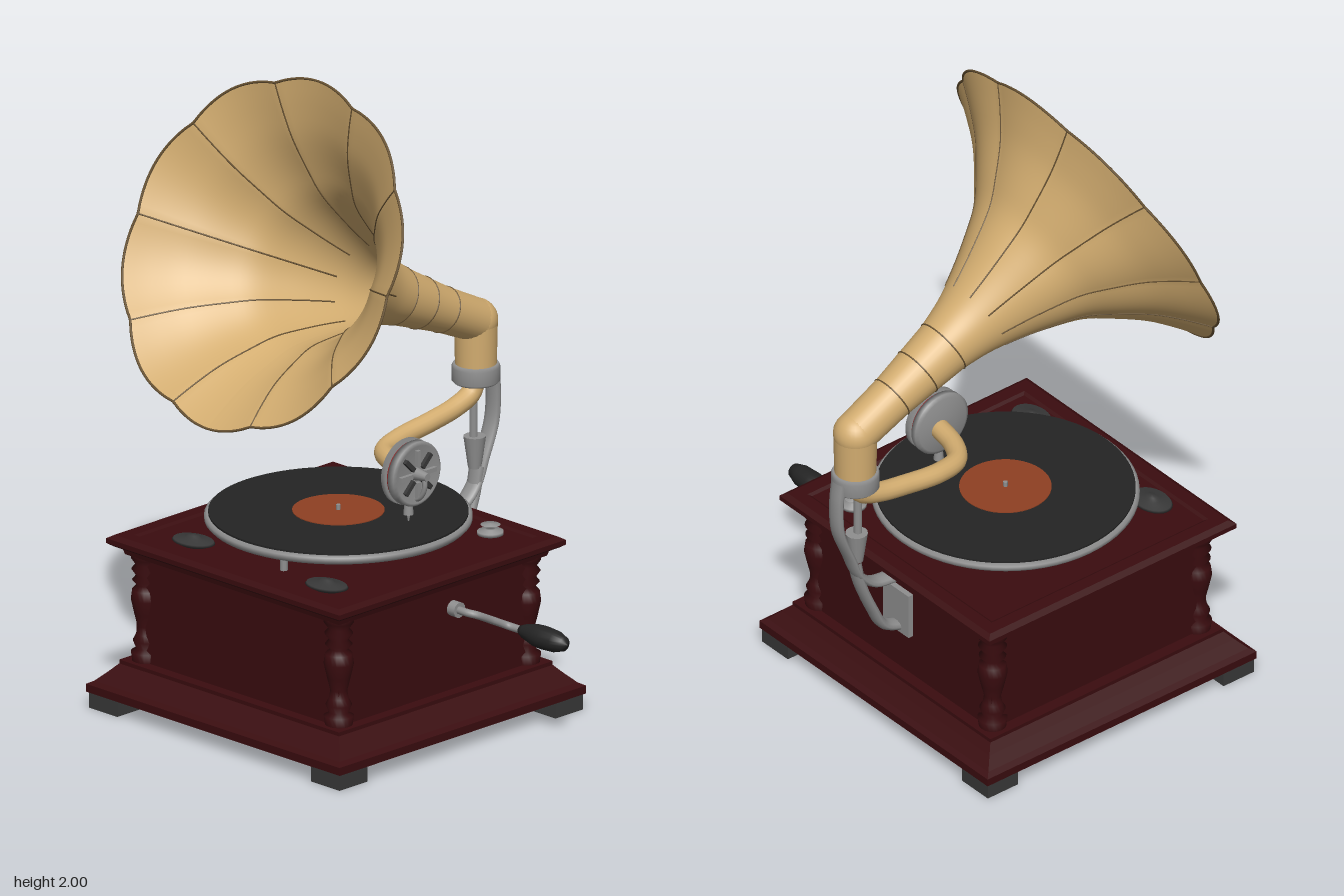
import * as THREE from 'three';

const V = (x, y, z) => new THREE.Vector3(x, y, z);
const mat = (name, color, side = THREE.FrontSide) => {
  const m = new THREE.MeshStandardMaterial({ color, side });
  m.name = name;
  return m;
};

export function createModel() {
  const model = new THREE.Group();
  const wood = mat('mahogany', 0x3a0c0f);
  const brass = mat('brass', 0xd3ad70, THREE.DoubleSide);
  const seamMat = mat('dark brass', 0x6a5434);
  const steel = mat('steel', 0x8f8f8f);
  const vinyl = mat('vinyl black', 0x242424);
  const labelMat = mat('record label', 0x8f4022);
  const rubber = mat('dark grey', 0x383838);
  const red = mat('red gasket', 0x8a2a2a);

  const CX = -0.115, CZ = 0.065;
  const add = (name, geo, m, x = 0, y = 0, z = 0, parent = model) => {
    const mesh = new THREE.Mesh(geo, m);
    mesh.name = name;
    mesh.position.set(x, y, z);
    parent.add(mesh);
    return mesh;
  };
  const lathe = (pts, n = 32) => new THREE.LatheGeometry(pts.map(p => new THREE.Vector2(...p)), n);
  const tube = (pts, r, n = 40, sides = 12) =>
    new THREE.TubeGeometry(new THREE.CatmullRomCurve3(pts.map(p => V(...p))), n, r, sides);
  // Square-plan moulding: profile of [half width, y]
  const moulding = (pts) => {
    const g = lathe(pts.map(([w, y]) => [w * Math.SQRT2, y]), 4).rotateY(Math.PI / 4).toNonIndexed();
    g.computeVertexNormals();
    return g;
  };

  // Cabinet
  const cabinet = new THREE.Group();
  cabinet.name = 'cabinet';
  cabinet.position.set(CX, 0, CZ);
  cabinet.scale.z = 0.975;
  model.add(cabinet);
  add('skirt', moulding([[0, 0.05], [0.533, 0.05], [0.533, 0.075], [0.515, 0.085], [0.485, 0.115],
    [0.462, 0.14], [0.462, 0.152], [0, 0.152]]), wood, 0, 0, 0, cabinet);
  add('body', new THREE.BoxGeometry(0.85, 0.38, 0.85), wood, 0, 0.325, 0, cabinet);
  add('lid', moulding([[0, 0.485], [0.45, 0.485], [0.455, 0.503], [0.475, 0.51], [0.49, 0.52],
    [0.49, 0.535], [0.472, 0.546], [0.43, 0.546], [0.42, 0.54], [0, 0.54]]), wood, 0, 0, 0, cabinet);
  const baluster = lathe([[0.042, 0.15], [0.046, 0.18], [0.03, 0.19], [0.04, 0.215], [0.03, 0.235],
    [0.026, 0.26], [0.036, 0.30], [0.046, 0.345], [0.042, 0.375], [0.028, 0.39], [0.042, 0.405],
    [0.03, 0.42], [0.044, 0.44], [0.032, 0.455], [0.046, 0.475], [0.046, 0.49]], 20);
  for (const sx of [-1, 1]) for (const sz of [-1, 1]) {
    add('cornerBaluster', baluster, wood, sx * 0.405, 0, sz * 0.405, cabinet);
    add('foot', new THREE.BoxGeometry(0.12, 0.054, 0.12), rubber, sx * 0.467, 0.027, sz * 0.467, cabinet);
  }

  // Turntable with record
  const table = new THREE.Group();
  table.name = 'turntable';
  table.position.set(CX, 0, 0.055);
  model.add(table);
  add('hub', new THREE.CylinderGeometry(0.065, 0.065, 0.05, 24), rubber, 0, 0.56, 0, table);
  add('platter', lathe([[0, 0.578], [0.34, 0.578], [0.39, 0.59], [0.4, 0.6], [0.4, 0.612], [0.392, 0.618],
    [0, 0.618]], 64), steel, 0, 0, 0, table);
  add('record', new THREE.CylinderGeometry(0.388, 0.388, 0.008, 64), vinyl, 0, 0.62, 0, table);
  add('label', new THREE.CylinderGeometry(0.138, 0.138, 0.004, 40), labelMat, 0, 0.6245, 0, table);
  add('spindle', new THREE.CylinderGeometry(0.007, 0.007, 0.02, 10), steel, 0, 0.632, 0, table);

  // Small deck fittings
  for (const [x, z] of [[-0.37, 0.41], [0.19, 0.41]]) {
    const dish = add('deckDish', lathe([[0, 0], [0.05, 0], [0.075, 0.01], [0.07, 0.016], [0.03, 0.02],
      [0.018, 0.03], [0, 0.032]], 24), rubber, x, 0.541, z);
    dish.scale.z = 0.7;
  }
  add('brakeKnob', lathe([[0, 0], [0.04, 0], [0.04, 0.01], [0.015, 0.016], [0.015, 0.025], [0.03, 0.03],
    [0, 0.034]], 20), steel, 0.19, 0.541, -0.28);
  add('brakePost', new THREE.CylinderGeometry(0.012, 0.012, 0.04, 10), steel, -0.02, 0.56, 0.38);

  // Crank
  add('crankBoss', new THREE.CylinderGeometry(0.024, 0.024, 0.03, 16).rotateZ(Math.PI / 2), steel, 0.33, 0.41, 0.005);
  add('crankRod', tube([[0.31, 0.41, 0.005], [0.38, 0.41, 0.005], [0.4, 0.405, -0.01], [0.41, 0.375, -0.07],
    [0.43, 0.352, -0.115], [0.49, 0.347, -0.125]], 0.012), steel);
  add('crankHandle', lathe([[0, 0], [0.014, 0.002], [0.022, 0.02], [0.034, 0.07], [0.036, 0.1], [0.033, 0.15],
    [0.022, 0.185], [0, 0.2]], 20).rotateZ(-Math.PI / 2), vinyl, 0.47, 0.347, -0.125);

  // Horn, built along +y from its mouth centre, then tilted
  const horn = new THREE.Group();
  horn.name = 'horn';
  horn.position.set(CX, 1.51, 0.375);
  horn.rotation.x = 1.125;
  model.add(horn);
  const PETALS = 10;
  const scallop = (a, t) => {
    const k = THREE.MathUtils.smoothstep(t, -0.5, 0);
    return 1 - 0.035 * k * (1 - Math.abs(Math.cos(a * PETALS / 2)));
  };
  const flare = new THREE.SplineCurve([[0.09, -0.62], [0.11, -0.53], [0.142, -0.44], [0.185, -0.345], [0.237, -0.25],
    [0.3, -0.18], [0.385, -0.1], [0.47, -0.042], [0.543, 0]].map(p => new THREE.Vector2(...p))).getPoints(32);
  const bell = new THREE.LatheGeometry(flare, PETALS * 12);
  const pos = bell.attributes.position;
  for (let i = 0; i < pos.count; i++) {
    const s = scallop(Math.atan2(pos.getX(i), pos.getZ(i)), pos.getY(i));
    pos.setX(i, pos.getX(i) * s);
    pos.setZ(i, pos.getZ(i) * s);
  }
  bell.computeVertexNormals();
  add('bell', bell, brass, 0, 0, 0, horn);
  add('neck', lathe([[0.066, -1], [0.07, -0.84], [0.08, -0.73], [0.09, -0.62]], 32), brass, 0, 0, 0, horn);
  add('throat', new THREE.CircleGeometry(0.088, 32).rotateX(-Math.PI / 2), brass, 0, -0.625, 0, horn);
  for (const [r, t] of [[0.07, -0.84], [0.08, -0.73], [0.09, -0.62]])
    add('neckSeam', new THREE.TorusGeometry(r, 0.0025, 6, 36).rotateX(Math.PI / 2), seamMat, 0, t, 0, horn);
  const onBell = (a, p) => {
    const r = p.x * scallop(a, p.y);
    return V(r * Math.sin(a), p.y, r * Math.cos(a));
  };
  const rim = [];
  for (let i = 0; i < PETALS * 12; i++) rim.push(onBell(i / (PETALS * 12) * Math.PI * 2, flare[32]));
  add('rim', new THREE.TubeGeometry(new THREE.CatmullRomCurve3(rim, true), 240, 0.004, 6, true), seamMat, 0, 0, 0, horn);
  for (let i = 0; i < PETALS; i++) {
    const a = (i + 0.5) / PETALS * Math.PI * 2;
    const path = flare.slice(6).map(p => onBell(a, p));
    add('petalSeam', new THREE.TubeGeometry(new THREE.CatmullRomCurve3(path), 40, 0.0025, 6), seamMat, 0, 0, 0, horn);
  }

  // Elbow, collar and tone arm
  const EZ = -0.525;
  add('elbow', new THREE.SphereGeometry(0.067, 28, 18), brass, CX, 1.08, EZ);
  add('downPipe', new THREE.CylinderGeometry(0.066, 0.062, 0.17, 28), brass, CX, 0.995, EZ);
  add('collar', lathe([[0, 0.885], [0.066, 0.885], [0.073, 0.892], [0.073, 0.935], [0.068, 0.945], [0, 0.945]], 32),
    steel, CX, 0, EZ);
  add('toneArm', tube([[CX, 0.9, EZ], [CX, 0.855, -0.505], [CX, 0.826, -0.44], [CX, 0.805, -0.33], [-0.113, 0.788, -0.2],
    [-0.085, 0.778, -0.11], [-0.02, 0.777, -0.065], [0.09, 0.777, -0.04]], 0.031, 60, 16), brass);

  // Sound box, facing +x
  const box = new THREE.Group();
  box.name = 'soundBox';
  box.position.set(0.08, 0.78, -0.025);
  box.rotation.z = -Math.PI / 2;
  model.add(box);
  add('backShell', lathe([[0, -0.01], [0.04, -0.01], [0.09, 0], [0.102, 0.006], [0.102, 0.024], [0, 0.024]], 36),
    steel, 0, 0, 0, box);
  add('gasket', new THREE.CylinderGeometry(0.095, 0.095, 0.01, 36), red, 0, 0.028, 0, box);
  add('frontShell', lathe([[0, 0.032], [0.1, 0.032], [0.1, 0.055], [0.09, 0.062], [0.078, 0.052], [0, 0.05]], 36),
    steel, 0, 0, 0, box);
  for (let i = 0; i < 8; i++) {
    const a = i * Math.PI / 4;
    const spoke = add('spoke', new THREE.BoxGeometry(0.05, 0.012, 0.014), i % 2 ? rubber : steel,
      0.05 * Math.cos(a), 0.06, -0.05 * Math.sin(a), box);
    spoke.rotation.y = a;
  }
  add('centreScrew', new THREE.CylinderGeometry(0.012, 0.02, 0.05, 14), steel, 0, 0.075, 0, box);
  add('stylusLever', tube([[0.105, 0.69, -0.025], [0.15, 0.71, -0.025], [0.168, 0.745, -0.025], [0.165, 0.785, -0.025]],
    0.008, 20, 8), steel);
  add('needleHolder', new THREE.CylinderGeometry(0.012, 0.016, 0.04, 12), steel, 0.1, 0.665, -0.025);
  add('needle', new THREE.CylinderGeometry(0.007, 0.002, 0.03, 8), steel, 0.1, 0.637, -0.025);

  // Rear support bracket: side outline [z, y] extruded across x
  const strap = (name, pts, radius, width) => {
    const g = tube(pts.map(([z, y]) => [0, y, z]), radius, 30, 10);
    add(name, g.scale(width / radius, 1, 1), steel, CX);
  };
  strap('bracketArm', [[-0.59, 0.93], [-0.598, 0.85], [-0.592, 0.75], [-0.55, 0.64], [-0.515, 0.56],
    [-0.46, 0.51], [-0.37, 0.495]], 0.014, 0.03);
  strap('bracketLeg', [[-0.53, 0.62], [-0.51, 0.53], [-0.465, 0.42], [-0.42, 0.34], [-0.355, 0.31]], 0.016, 0.028);
  add('bracketPlate', new THREE.BoxGeometry(0.12, 0.15, 0.018), steel, CX, 0.37, -0.36);
  add('supportRod', new THREE.CylinderGeometry(0.013, 0.013, 0.2, 12), steel, CX, 0.8, -0.515);
  add('supportCup', new THREE.CylinderGeometry(0.034, 0.02, 0.1, 16), steel, CX, 0.665, -0.52);

  return model;
}
